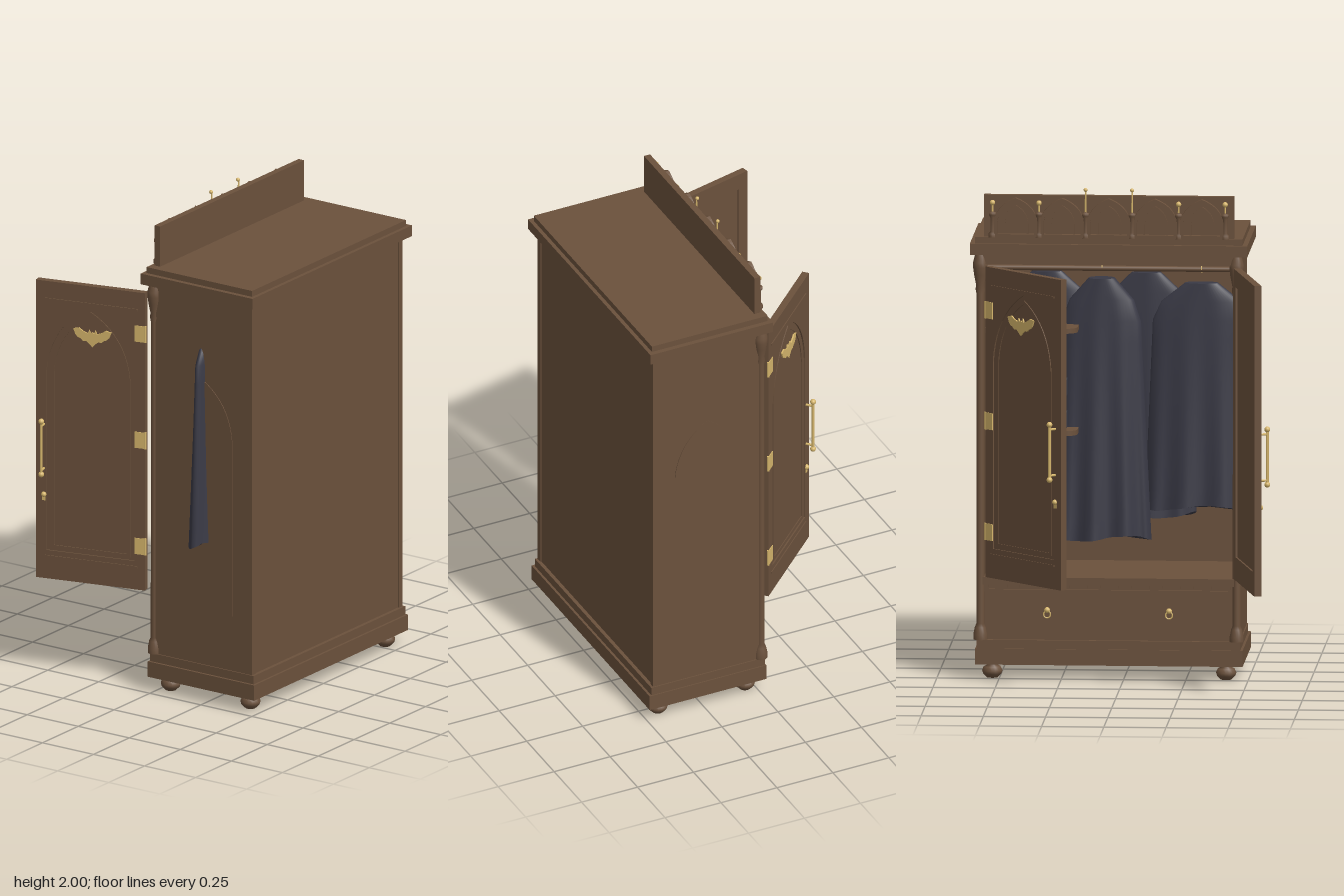
import * as THREE from 'three';

const CX = 0.06; // cabinet middle line

export function createModel() {
  const root = new THREE.Group();
  const mat = (name, color) => Object.assign(new THREE.MeshStandardMaterial({ color }), { name });
  const wood = mat('wood', 0x6b513c);
  const brass = mat('brass', 0xd6b66c);
  const cloth = mat('dark cloth', 0x3a3a46);
  const folded = mat('folded cloth', 0x3a3f4c);

  const add = (name, geo, m, x = 0, y = 0, z = 0, parent = root) => {
    const mesh = new THREE.Mesh(geo, m);
    mesh.name = name;
    mesh.position.set(x, y, z);
    parent.add(mesh);
    return mesh;
  };
  // box from min/max extents
  const box = (name, x0, x1, y0, y1, z0, z1, m = wood, parent = root) =>
    add(name, new THREE.BoxGeometry(x1 - x0, y1 - y0, z1 - z0), m,
      (x0 + x1) / 2, (y0 + y1) / 2, (z0 + z1) / 2, parent);
  const lathe = (pts, seg = 16) =>
    new THREE.LatheGeometry(pts.map(([r, y]) => new THREE.Vector2(r, y)), seg);
  const extrude = (shape, depth) => new THREE.ExtrudeGeometry(shape, { depth, bevelEnabled: false, curveSegments: 10 })
    .translate(0, 0, -depth / 2);
  // pointed arch outline centred on x
  const arch = (T, w, y0, spring, top) => {
    const p = new T();
    p.moveTo(-w, y0);
    p.lineTo(w, y0);
    p.lineTo(w, spring);
    p.quadraticCurveTo(w * 0.9, spring + (top - spring) * 0.68, 0, top);
    p.quadraticCurveTo(-w * 0.9, spring + (top - spring) * 0.68, -w, spring);
    p.closePath();
    return p;
  };
  const archBand = (w, y0, spring, top, t) => {
    const s = arch(THREE.Shape, w, y0, spring, top);
    s.holes.push(arch(THREE.Path, w - t, y0 + t, spring, top - t * 1.3));
    return s;
  };
  const rect = (x0, x1, y0, y1) => {
    const s = new THREE.Shape();
    s.moveTo(x0, y0); s.lineTo(x1, y0); s.lineTo(x1, y1); s.lineTo(x0, y1); s.closePath();
    return s;
  };

  // carcass
  box('plinth', CX - 0.54, CX + 0.535, 0.06, 0.125, -0.025, 0.497);
  box('plinthStep', CX - 0.53, CX + 0.53, 0.125, 0.16, -0.02, 0.487);
  box('backPanel', CX - 0.5, CX + 0.515, 0.16, 1.725, 0.45, 0.472);
  box('innerFloor', CX - 0.5, CX + 0.5, 0.395, 0.415, 0, 0.45);
  box('ceiling', CX - 0.5, CX + 0.5, 1.69, 1.725, -0.01, 0.45);
  box('header', CX - 0.51, CX + 0.51, 1.685, 1.725, -0.025, 0.01);
  box('cornice', CX - 0.56, CX + 0.555, 1.725, 1.77, -0.045, 0.503);
  box('corniceStep', CX - 0.54, CX + 0.535, 1.77, 1.795, -0.03, 0.487);
  for (const s of [-1, 1]) {
    box('sideWall', CX + s * 0.5125 - 0.0125, CX + s * 0.5125 + 0.0125, 0.16, 1.725, -0.005, 0.477);
    const panel = add('sideArchPanel', extrude(arch(THREE.Shape, 0.145, 0.39, 1.13, 1.365), 0.006), wood,
      CX + s * 0.525, 0, 0.235);
    panel.rotation.y = Math.PI / 2;
    // turned corner post
    add('cornerPost', lathe([[0.028, 0.16], [0.028, 0.18], [0.022, 0.21], [0.016, 0.225], [0.015, 1.56],
      [0.019, 1.58], [0.017, 1.6], [0.025, 1.64], [0.029, 1.67], [0.029, 1.69], [0.02, 1.725]]), wood,
      CX + s * 0.515, 0, -0.008);
    for (const z of [0.04, 0.43])
      add('bunFoot', lathe([[0, 0], [0.022, 0], [0.037, 0.015], [0.041, 0.028], [0.034, 0.044], [0.022, 0.05], [0.028, 0.062]]),
        wood, CX + s * 0.47, 0, z);
  }

  // drawers
  box('drawerRail', CX - 0.505, CX + 0.505, 0.385, 0.415, -0.025, 0.01);
  box('drawerBacking', CX - 0.505, CX + 0.505, 0.16, 0.39, -0.005, 0.02);
  for (let i = 0; i < 40; i++)
    box('dentil', CX - 0.49 + i * 0.0249, CX - 0.481 + i * 0.0249, 0.372, 0.385, -0.018, -0.004);
  for (const s of [-1, 1]) {
    const x = CX + s * 0.245;
    box('drawerFront', x - 0.235, x + 0.235, 0.185, 0.365, -0.016, 0);
    add('drawerKnob', new THREE.SphereGeometry(0.012, 12, 8), brass, x, 0.285, -0.034);
    box('knobStem', x - 0.004, x + 0.004, 0.281, 0.289, -0.03, -0.015, brass);
    add('dropPull', new THREE.TorusGeometry(0.014, 0.003, 6, 16), brass, x, 0.268, -0.038);
  }

  // arcaded crest
  box('crestBoard', -0.445, 0.56, 1.795, 1.965, -0.015, 0.012);
  for (let i = 0; i < 6; i++) {
    const x = -0.41 + i * 0.187;
    add('crestColumn', lathe([[0.016, 1.795], [0.016, 1.81], [0.009, 1.818], [0.009, 1.875], [0.015, 1.885], [0.015, 1.895], [0, 1.9]], 10),
      wood, x, 0, -0.025);
    const top = i === 2 || i === 3 ? 1.99 : 1.935;
    add('finialStem', new THREE.CylinderGeometry(0.003, 0.004, top - 1.89, 8), brass, x, (top + 1.89) / 2, -0.022);
    add('finialBall', new THREE.SphereGeometry(i === 2 || i === 3 ? 0.008 : 0.011, 12, 8), brass, x, top, -0.025);
    if (i < 5) {
      const m = x + 0.0935;
      add('crestArch', extrude(archBand(0.087, 1.796, 1.86, 1.956, 0.013), 0.022), wood, m, 0, -0.026);
      add('crestTracery', extrude(archBand(0.05, 1.796, 1.85, 1.925, 0.007), 0.01), wood, m, 0, -0.019);
    }
  }

  // doors, built along s from the hinge, outer face to -z
  const L = 0.47, mid = 0.245;
  const batShape = () => {
    const s = new THREE.Shape();
    const half = [[0, 0.022], [0.008, 0.018], [0.013, 0.032], [0.02, 0.016], [0.04, 0.024], [0.058, 0.036], [0.082, 0.03],
      [0.072, 0.006], [0.062, -0.004], [0.05, -0.008], [0.04, -0.018], [0.026, -0.016], [0.014, -0.026], [0, -0.04]];
    half.forEach(([x, y], i) => (i ? s.lineTo(x, y) : s.moveTo(x, y)));
    half.slice(1, -1).reverse().forEach(([x, y]) => s.lineTo(-x, y));
    s.closePath();
    return s;
  };
  const door = (name, s, x, angle) => {
    const g = new THREE.Group();
    g.name = name;
    g.position.set(x, 0, -0.045);
    g.rotation.y = angle;
    root.add(g);
    const b = (n, u0, u1, y0, y1, z0, z1, m = wood) =>
      box(n, Math.min(s * u0, s * u1), Math.max(s * u0, s * u1), y0, y1, z0, z1, m, g);
    b('doorSlab', 0, L, 0.42, 1.68, -0.009, 0.007);
    const frame = rect(-L / 2, L / 2, 0.42, 1.68);
    const offset = mid - L / 2;
    const hole = arch(THREE.Path, 0.19, 0.54, 1.3, 1.59);
    frame.holes.push(hole);
    add('doorFrame', extrude(frame, 0.006), wood, s * L / 2, 0, -0.012, g);
    add('archMoulding', extrude(archBand(0.18 - offset, 0.552, 1.3, 1.57, 0.012), 0.004), wood, s * L / 2, 0, -0.011, g);
    // mouldings and inner framing
    for (const y of [0.515, 1.605]) b('doorMoulding', 0.03, L - 0.04, y - 0.004, y + 0.004, -0.019, -0.015);
    b('innerStile', 0, 0.04, 0.42, 1.68, 0.007, 0.014);
    b('innerStile', L - 0.045, L, 0.42, 1.68, 0.007, 0.014);
    b('innerRail', 0.04, L - 0.045, 0.42, 0.515, 0.007, 0.014);
    b('innerRail', 0.04, L - 0.045, 1.61, 1.68, 0.007, 0.014);
    // brass fittings
    add('wingedOrnament', extrude(batShape(), 0.006), brass, s * 0.225, 1.465, -0.018, g);
    for (const y of [0.605, 1.055, 1.505]) {
      b('hingePlate', -0.002, 0.045, y - 0.034, y + 0.034, -0.018, -0.0145, brass);
      add('hingePin', new THREE.CylinderGeometry(0.006, 0.006, 0.07, 10), brass, 0, y, -0.014, g);
    }
    const hx = s * (L - 0.035);
    add('handleBar', new THREE.CylinderGeometry(0.006, 0.006, 0.22, 10), brass, hx, 0.98, -0.045, g);
    for (const y of [0.868, 1.092]) add('handleBall', new THREE.SphereGeometry(0.012, 12, 8), brass, hx, y, -0.045, g);
    for (const y of [0.885, 1.072]) {
      const post = add('handlePost', new THREE.CylinderGeometry(0.005, 0.005, 0.034, 8), brass, hx, y, -0.03, g);
      post.rotation.x = Math.PI / 2;
    }
    add('keyholeBoss', new THREE.SphereGeometry(0.011, 12, 8), brass, hx, 0.775, -0.017, g);
    b('keyholePlate', L - 0.042, L - 0.028, 0.75, 0.775, -0.018, -0.014, brass);
  };
  door('rightDoor', 1, -0.46, 1.81);
  door('leftDoor', -1, 0.54, -0.81);

  // shelves with a rounded free corner
  const shelf = new THREE.Shape();
  shelf.moveTo(0.56, 0.04);
  shelf.lineTo(0.25, 0.04);
  shelf.quadraticCurveTo(0.19, 0.04, 0.19, 0.1);
  shelf.lineTo(0.19, 0.3);
  shelf.lineTo(0.56, 0.3);
  shelf.closePath();
  for (const y of [0.99, 1.405])
    add('shelf', extrude(shelf, 0.02).rotateX(Math.PI / 2), wood, 0, y, 0);

  // folded stack
  for (let i = 0; i < 4; i++) {
    const y = 1.034 + i * 0.066, d = (i % 2) * 0.008;
    const roll = new THREE.CylinderGeometry(0.033, 0.033, 0.29 - d, 12).rotateZ(Math.PI / 2);
    add('foldedEdge', roll, folded, 0.38 + d, y, 0.085);
    box('foldedGarment', 0.235 + d, 0.525, y - 0.032, y + 0.032, 0.085, 0.27, folded);
  }

  // hanging rail and garments
  const rail = add('hangingRail', new THREE.CylinderGeometry(0.011, 0.011, 1.0, 12), wood, CX, 1.635, 0.22);
  rail.rotation.z = Math.PI / 2;
  const garment = (x, z, y0, y1, topW, lowW, depth, phase) => {
    const geo = new THREE.CylinderGeometry(1, 1, 1, 56, 12);
    const p = geo.attributes.position;
    for (let i = 0; i < p.count; i++) {
      const t = 0.5 - p.getY(i); // 0 at shoulders, 1 at hem
      const a = Math.atan2(p.getZ(i), p.getX(i));
      const r = Math.hypot(p.getX(i), p.getZ(i));
      const shoulder = 0.35 + 0.65 * Math.min(1, t * 9);
      const fold = 1 + 0.22 * t * Math.sin(a * 9 + phase);
      p.setXYZ(i, r * Math.cos(a) * (topW + (lowW - topW) * t) * shoulder,
        y1 + (y0 - y1) * t + 0.012 * t * Math.sin(a * 3 + phase),
        r * Math.sin(a) * depth * (0.55 + 0.45 * t) * fold);
    }
    geo.computeVertexNormals();
    add('hangingGarment', geo, cloth, x, 0, z);
    const hook = add('hangerHook', new THREE.TorusGeometry(0.018, 0.003, 6, 16, Math.PI * 1.4), brass, x, y1 + 0.055, z);
    hook.rotation.y = Math.PI / 2;
  };
  garment(-0.3, 0.225, 0.67, 1.58, 0.19, 0.228, 0.06, 0.4);
  garment(0.1, 0.2, 0.55, 1.6, 0.15, 0.2, 0.075, 1.7);
  garment(0.33, 0.37, 0.69, 1.6, 0.17, 0.2, 0.05, 2.9);
  garment(-0.07, 0.36, 0.62, 1.6, 0.17, 0.2, 0.05, 4.1);

  return root;
}
